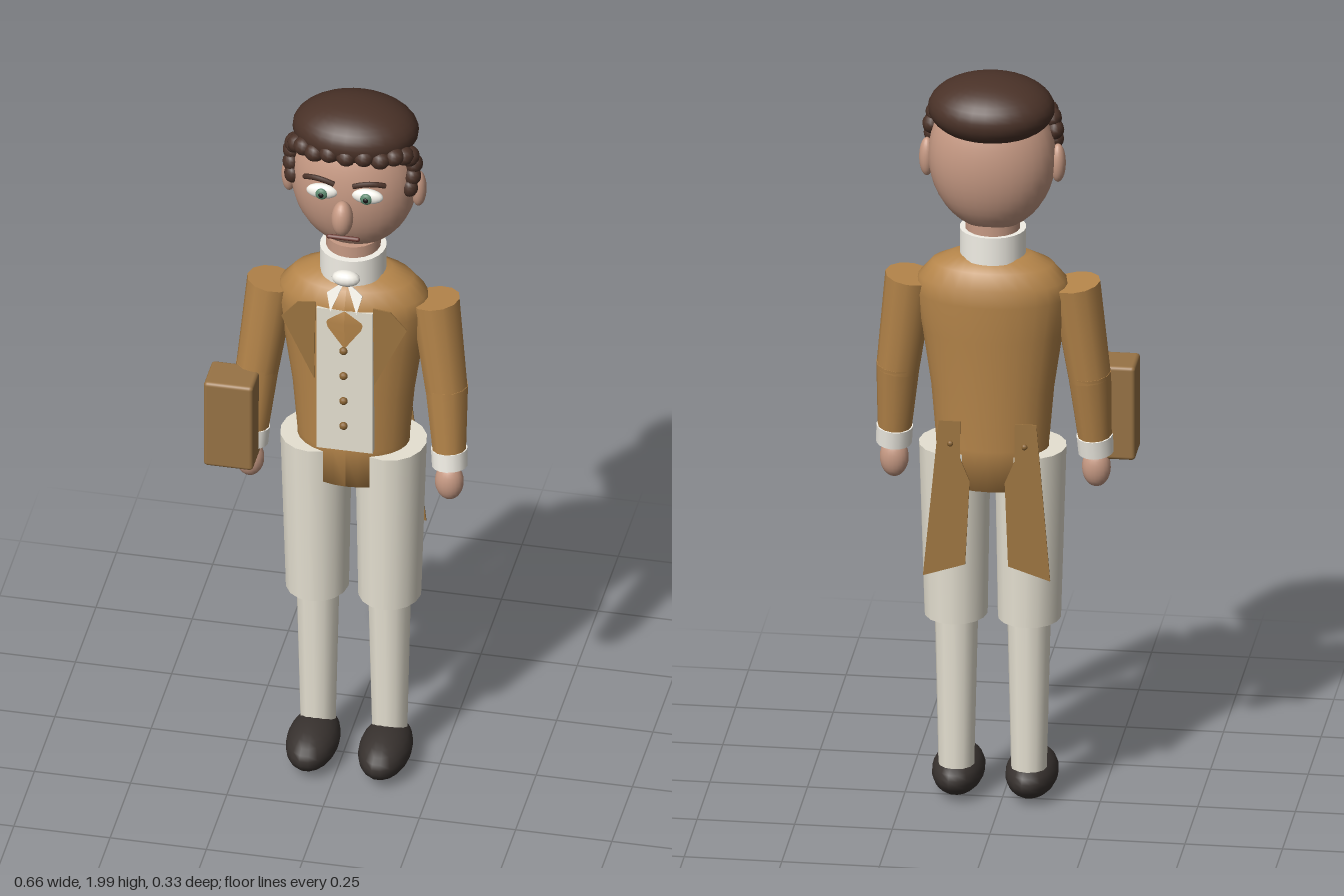
import * as THREE from 'three';
import { RoundedBoxGeometry } from 'three/addons/geometries/RoundedBoxGeometry.js';

const mat = (color, side = THREE.FrontSide) => new THREE.MeshStandardMaterial({ color, side });
const COAT = mat(0xb5854a), FLAP = mat(0x9c7440, THREE.DoubleSide), CREAM = mat(0xe6e1d2), LINEN = mat(0xf2efe6, THREE.DoubleSide);
const SKIN = mat(0xc79a84), HAIR = mat(0x4a3228), SHOE = mat(0x38322f), BOOK = mat(0x987345);
const BRASS = mat(0x8a6433), MOUTH = mat(0x6e3b33), WHITE = mat(0xf4f2ea), IRIS = mat(0x5d8a70), BLACK = mat(0x151515);

export function createModel() {
  const model = new THREE.Group();
  const figure = new THREE.Group();
  figure.name = 'figure';
  figure.position.x = 0.024;
  model.add(figure);

  const add = (name, geo, material, x = 0, y = 0, z = 0) => {
    const mesh = new THREE.Mesh(geo, material);
    mesh.name = name;
    mesh.position.set(x, y, z);
    figure.add(mesh);
    return mesh;
  };
  const ball = (name, material, x, y, z, rx, ry = rx, rz = rx, seg = 20) => {
    const mesh = add(name, new THREE.SphereGeometry(1, seg, Math.round(seg * 0.7)), material, x, y, z);
    mesh.scale.set(rx, ry, rz);
    return mesh;
  };
  // Tapered cylinder running from point a to point b
  const limb = (name, material, a, b, ra, rb, seg = 12) => {
    const A = new THREE.Vector3(...a), B = new THREE.Vector3(...b);
    const d = A.clone().sub(B);
    const mesh = add(name, new THREE.CylinderGeometry(ra, rb, d.length(), seg), material);
    mesh.position.copy(A).add(B).multiplyScalar(0.5);
    mesh.quaternion.setFromUnitVectors(new THREE.Vector3(0, 1, 0), d.normalize());
    return mesh;
  };
  // Thin flat piece, outline mirrored by s
  const flap = (name, material, pts, s, z, depth = 0.004) => {
    const shape = new THREE.Shape(pts.map(([x, y]) => new THREE.Vector2(x * s, y)));
    return add(name, new THREE.ExtrudeGeometry(shape, { depth, bevelEnabled: false }), material, 0, 0, z);
  };

  // Coat body, flattened front to back
  const profile = [[0, 0.89], [0.142, 0.89], [0.145, 1.0], [0.158, 1.15], [0.18, 1.3], [0.197, 1.4],
    [0.19, 1.445], [0.155, 1.485], [0.1, 1.51], [0, 1.512]];
  const coat = add('coatBody', new THREE.LatheGeometry(profile.map(p => new THREE.Vector2(...p)), 28), COAT, 0, 0, -0.012);
  coat.scale.z = 0.6;
  coat.geometry.translate(0, 0, 0);
  // Fuller depth toward the hem
  const pos = coat.geometry.attributes.position;
  for (let i = 0; i < pos.count; i++) {
    const k = THREE.MathUtils.clamp((1.4 - pos.getY(i)) / 0.4, 0, 1);
    pos.setZ(i, pos.getZ(i) * (1 + 0.2 * k));
  }
  coat.geometry.computeVertexNormals();

  // Waistcoat panel and its buttons
  add('waistcoat', new THREE.BoxGeometry(0.146, 0.43, 0.045), CREAM, 0, 1.225, 0.08);
  for (let i = 0; i < 4; i++) ball('waistcoatButton', BRASS, 0, 1.325 - i * 0.077, 0.115, 0.011, 0.011, 0.009, 10);

  // Collar and cravat
  add('neck', new THREE.CylinderGeometry(0.07, 0.07, 0.12, 20), SKIN, 0, 1.55, -0.008);
  add('collar', new THREE.CylinderGeometry(0.085, 0.085, 0.075, 24), LINEN, 0, 1.54, -0.005);
  ball('cravatKnot', LINEN, 0, 1.53, 0.085, 0.037, 0.022, 0.022, 14);

  // Head and nose
  ball('head', SKIN, 0, 1.78, -0.02, 0.163, 0.2, 0.123, 32);
  ball('nose', SKIN, 0, 1.745, 0.13, 0.028, 0.05, 0.032);
  add('mouth', new THREE.CapsuleGeometry(0.006, 0.075, 4, 8), MOUTH, 0, 1.676, 0.117).rotation.z = Math.PI / 2;

  // Hair cap with a fringe of curls
  ball('hairCap', HAIR, 0, 1.917, -0.035, 0.162, 0.083, 0.133, 28).rotation.x = -0.08;
  for (let i = 0; i < 9; i++) {
    const a = (i / 8 - 0.5) * 2.5;
    ball('fringeCurl', HAIR, Math.sin(a) * 0.145, 1.902 - 0.012 * Math.abs(Math.sin(a)) + (i % 2) * 0.006,
      0.005 + Math.cos(a) * 0.075, 0.027, 0.025, 0.027, 12);
  }

  for (const s of [-1, 1]) {
    const side = s > 0 ? 'left' : 'right';

    // Face
    ball(side + 'Ear', SKIN, s * 0.168, 1.765, -0.015, 0.02, 0.052, 0.024);
    ball(side + 'Eye', WHITE, s * 0.059, 1.8, 0.098, 0.041, 0.021, 0.016);
    ball(side + 'Iris', IRIS, s * 0.058, 1.799, 0.111, 0.016, 0.016, 0.008, 14);
    ball(side + 'Pupil', BLACK, s * 0.058, 1.799, 0.118, 0.007, 0.007, 0.004, 10);
    const brow = new THREE.QuadraticBezierCurve3(new THREE.Vector3(s * 0.025, 1.835, 0.113),
      new THREE.Vector3(s * 0.07, 1.856, 0.116), new THREE.Vector3(s * 0.105, 1.838, 0.098));
    add(side + 'Eyebrow', new THREE.TubeGeometry(brow, 8, 0.007, 6), HAIR);

    // Sideburn curls
    [[0.15, 1.878, 0.01], [0.158, 1.85, 0.0], [0.157, 1.82, 0.012], [0.152, 1.79, 0.022]].forEach(([x, y, z], i) =>
      ball(side + 'SideCurl', HAIR, s * x, y, z, 0.025 - i * 0.001, 0.026, 0.03 - i * 0.003, 12));

    // Cravat tail
    const tail = flap(side + 'CravatTail', LINEN, [[0.002, 0], [0.034, -0.085], [0.046, -0.035]], s, 0);
    tail.position.set(0, 1.522, 0.085);
    tail.rotation.x = -0.35;

    // Lapel
    flap(side + 'Lapel', FLAP, [[0.075, 1.46], [0.12, 1.455], [0.163, 1.405], [0.078, 1.225]], s, 0.103);

    // Arm, cuff and hand
    const shoulder = [s * 0.212, 1.435, -0.008], elbow = [s * 0.246, 1.17, 0.01], wrist = [s * 0.257, 0.99, 0.03];
    limb(side + 'UpperSleeve', COAT, shoulder, elbow, 0.064, 0.055);
    limb(side + 'LowerSleeve', COAT, [s * 0.245, 1.185, 0.009], wrist, 0.056, 0.043);
    limb(side + 'Cuff', LINEN, [s * 0.256, 1.005, 0.028], [s * 0.259, 0.957, 0.034], 0.047, 0.046, 16);
    ball(side + 'Hand', SKIN, s * 0.259, 0.912, 0.04, 0.037, 0.053, 0.032);

    // Breeches, stocking and shoe
    const thigh = limb(side + 'BreechesLeg', CREAM, [s * 0.097, 0.985, -0.01], [s * 0.094, 0.515, -0.01], 0.092, 0.081, 16);
    thigh.scale.z = 1.1;
    limb(side + 'Stocking', CREAM, [s * 0.093, 0.53, -0.01], [s * 0.093, 0.1, -0.012], 0.056, 0.046);
    ball(side + 'Shoe', SHOE, s * 0.094, 0.066, 0.042, 0.067, 0.059, 0.122, 18);

    // Coat tail hanging from the back
    const skirt = flap(side + 'CoatTail', FLAP, [[0.07, 0], [0.125, 0], [0.163, -0.42], [0.055, -0.385],
      [0.045, -0.16], [0.07, -0.1]], s, 0);
    skirt.position.set(0, 1.08, -0.113);
    skirt.rotation.x = 0.045;
    ball(side + 'TailButton', BRASS, s * 0.095, 1.02, -0.117, 0.008, 0.008, 0.006, 10);
  }

  // Book carried beside the right hand
  add('book', new RoundedBoxGeometry(0.128, 0.256, 0.108, 3, 0.01), BOOK, -0.295, 1.063, 0.085);

  return model;
}
